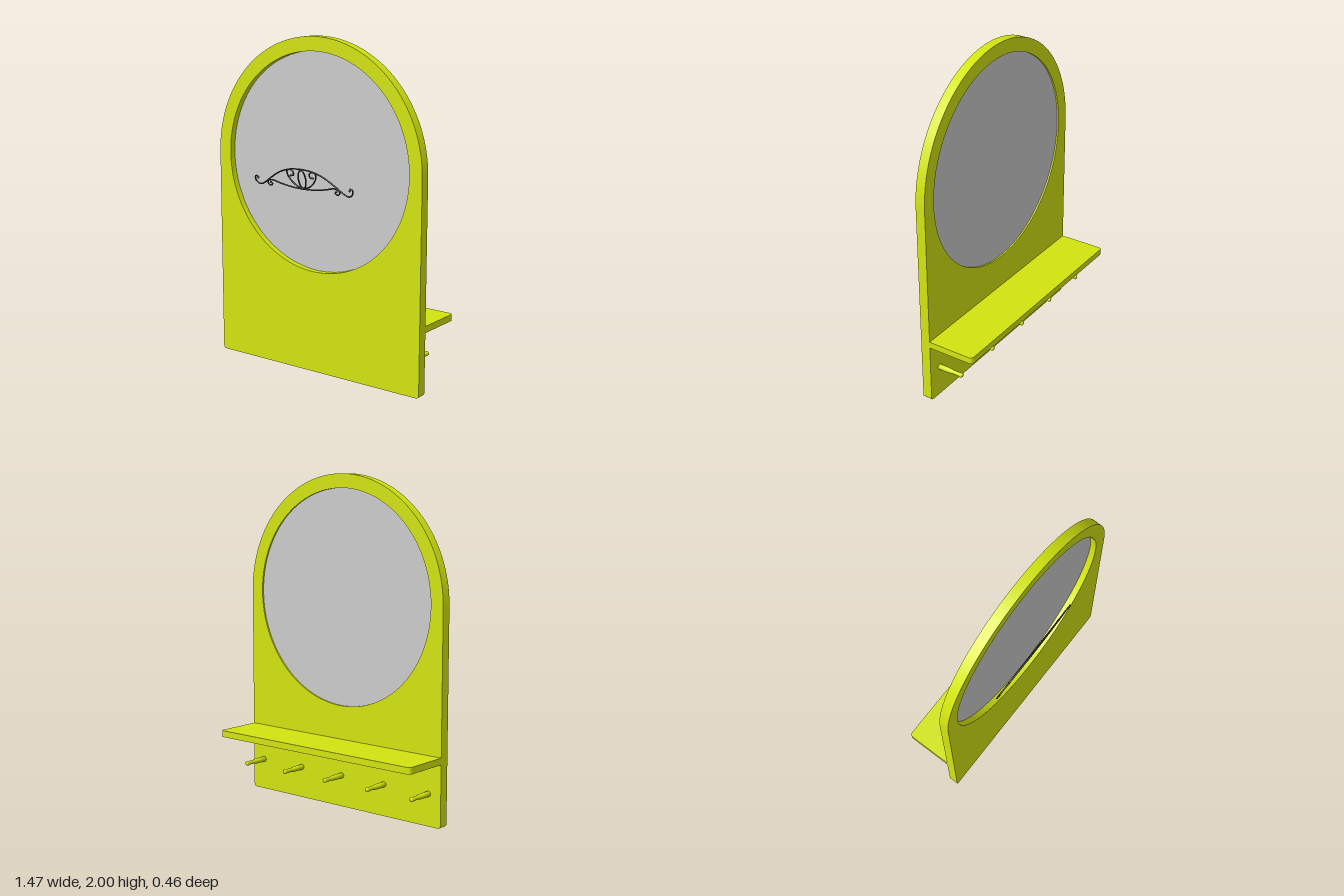
import * as THREE from 'three';

const lime = new THREE.MeshStandardMaterial({ color: 0xd2e410 });
const grey = new THREE.MeshStandardMaterial({ color: 0xcccccc });
const dark = new THREE.MeshStandardMaterial({ color: 0x333333 });

const W = 0.732, T = 0.06, ARCH_Y = 1.268, HOLE_R = 0.648;

function add(parent, name, geometry, material) {
  const mesh = new THREE.Mesh(geometry, material);
  mesh.name = name;
  parent.add(mesh);
  return mesh;
}

// Arched panel with rounded bottom corners and a round opening
function boardGeometry() {
  const r = 0.022;
  const s = new THREE.Shape();
  s.moveTo(-W + r, 0);
  s.lineTo(W - r, 0);
  s.quadraticCurveTo(W, 0, W, r);
  s.lineTo(W, ARCH_Y);
  s.absarc(0, ARCH_Y, W, 0, Math.PI, false);
  s.lineTo(-W, r);
  s.quadraticCurveTo(-W, 0, -W + r, 0);
  const hole = new THREE.Path();
  hole.absarc(0, ARCH_Y, HOLE_R, 0, Math.PI * 2, true);
  s.holes.push(hole);
  return new THREE.ExtrudeGeometry(s, { depth: T, bevelEnabled: false, curveSegments: 48 })
    .translate(0, 0, -T / 2);
}

// Shelf plan with two rounded outer corners, extruded upwards
function shelfGeometry() {
  const d = 0.295, r = 0.025, h = 0.04;
  const s = new THREE.Shape();
  s.moveTo(-W, 0);
  s.lineTo(W, 0);
  s.lineTo(W, d - r);
  s.quadraticCurveTo(W, d, W - r, d);
  s.lineTo(-W + r, d);
  s.quadraticCurveTo(-W, d, -W, d - r);
  s.closePath();
  return new THREE.ExtrudeGeometry(s, { depth: h, bevelEnabled: false, curveSegments: 6 })
    .rotateX(-Math.PI / 2);
}

// Turned peg: thick base, stepped neck, rounded tip
function pegGeometry() {
  const profile = [
    [0, 0], [0.017, 0], [0.0165, 0.05], [0.015, 0.09], [0.012, 0.095],
    [0.012, 0.14], [0.0145, 0.15], [0.0135, 0.16], [0.009, 0.164], [0, 0.165],
  ].map(([x, y]) => new THREE.Vector2(x, y));
  return new THREE.LatheGeometry(profile, 20).rotateX(-Math.PI / 2);
}

// Scrollwork drawn as half-curves and mirrored
function ornament() {
  const g = new THREE.Group();
  g.name = 'scrollOrnament';
  const strands = {
    upperArc: [[0, 24.5], [15, 23], [29, 18.5], [44, 9.5], [54, 2.5], [61, 0], [66, 3.5], [66.5, 8], [64, 9.5], [62.5, 7]],
    lowerArc: [[0, 1], [15, 1.8], [30, 4.2], [43, 7], [48, 5.5], [49, 2.5], [46, 0], [43, 2], [45, 4.2]],
    innerScroll: [[0, 1.5], [8, 4], [15, 9.5], [19.5, 17], [19, 21], [15, 22.5], [11, 20], [11.5, 16], [15, 15.5]],
  };
  for (const side of [-1, 1]) {
    for (const [name, points] of Object.entries(strands)) {
      const curve = new THREE.CatmullRomCurve3(points.map(([x, y]) => new THREE.Vector3(side * x, y, 0)));
      add(g, name, new THREE.TubeGeometry(curve, 64, 0.85, 8), dark);
      const tip = add(g, name + 'Tip', new THREE.SphereGeometry(1.3, 12, 8), dark);
      tip.position.copy(curve.getPoint(1));
    }
  }
  const oval = [];
  for (let i = 0; i < 16; i++) {
    const a = (i / 16) * Math.PI * 2;
    oval.push(new THREE.Vector3(5 * Math.cos(a), 12.5 + 10.5 * Math.sin(a), 0));
  }
  add(g, 'centreOval', new THREE.TubeGeometry(new THREE.CatmullRomCurve3(oval, true), 48, 0.85, 8, true), dark);
  g.scale.setScalar(0.0053);
  g.position.set(-0.037, 1.12, 0.197);
  g.rotation.x = 0.22;
  return g;
}

export function createModel() {
  const model = new THREE.Group();
  model.name = 'mirrorWithShelf';

  // Panel, mirror, shelf and pegs share a very slight turn
  const body = new THREE.Group();
  body.name = 'panelAssembly';
  body.position.z = 0.104;
  body.rotation.y = -0.0102;
  model.add(body);

  add(body, 'archedPanel', boardGeometry(), lime);

  const mirror = add(body, 'mirror', new THREE.CylinderGeometry(HOLE_R, HOLE_R, 0.012, 96).rotateX(Math.PI / 2), grey);
  mirror.position.set(0, ARCH_Y, -0.014);

  const shelf = add(body, 'shelf', shelfGeometry(), lime);
  shelf.position.set(0, 0.375, -T / 2);

  for (let i = -2; i <= 2; i++) {
    const peg = add(body, 'peg', pegGeometry(), lime);
    peg.position.set(i * 0.322, 0.192, -T / 2);
  }

  model.add(ornament());
  return model;
}
